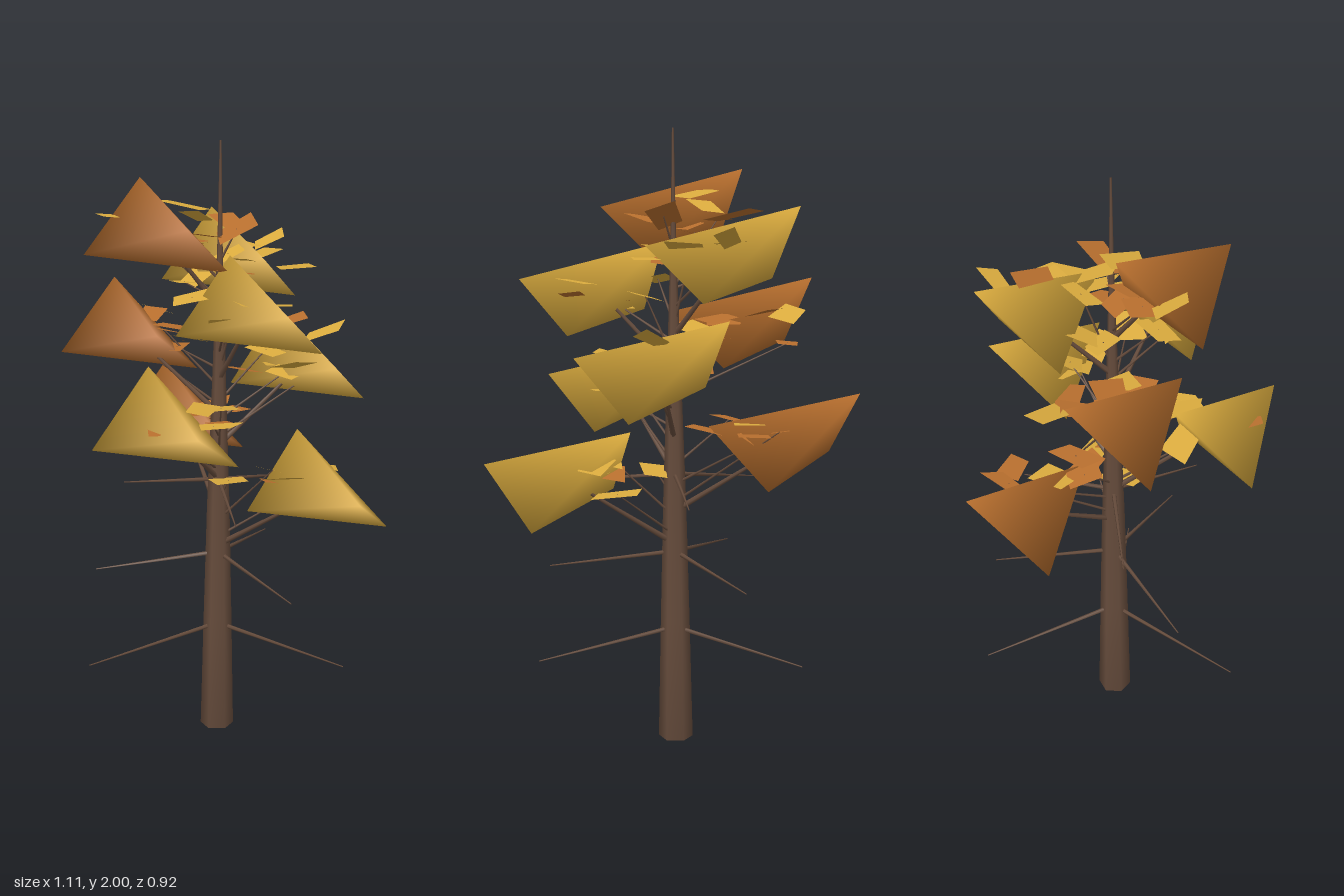
import * as THREE from 'three';

const mat = (name, color, side = THREE.FrontSide) => {
  const m = new THREE.MeshStandardMaterial({ color, side });
  m.name = name;
  return m;
};

export function createModel() {
  const tree = new THREE.Group();
  tree.name = 'autumnTree';
  const bark = mat('bark brown', 0x664c3c);
  const gold = mat('golden leaf', 0xdaab3e, THREE.DoubleSide);
  const copper = mat('copper leaf', 0xb86f2e, THREE.DoubleSide);

  let seed = 11;
  const rand = () => (seed = (seed * 16807) % 2147483647) / 2147483647;
  const spread = range => (rand() - 0.5) * range;

  const add = (parent, geo, material, name) => {
    const m = new THREE.Mesh(geo, material);
    m.name = name;
    parent.add(m);
    return m;
  };

  // Tapered limb between two points
  const limb = (name, from, to, r0, r1) => {
    const dir = to.clone().sub(from);
    const m = add(tree, new THREE.CylinderGeometry(r1, r0, dir.length(), 5), bark, name);
    m.position.copy(from).addScaledVector(dir, 0.5);
    m.quaternion.setFromUnitVectors(new THREE.Vector3(0, 1, 0), dir.normalize());
  };

  // Trunk tapering to a needle tip, leaning very slightly
  const profile = [[0, 0], [0.057, 0], [0.048, 0.4], [0.038, 0.8], [0.024, 1.2], [0.014, 1.5], [0.008, 1.7], [0.003, 2]];
  const trunkGeo = new THREE.LatheGeometry(profile.map(p => new THREE.Vector2(...p)), 6);
  const tp = trunkGeo.attributes.position;
  for (let i = 0; i < tp.count; i++) tp.setX(i, tp.getX(i) + 0.008 * tp.getY(i));
  add(tree, trunkGeo, bark, 'trunk').position.set(-0.05, 0, -0.05);
  const trunkAt = y => new THREE.Vector3(-0.05 + 0.008 * y, y, -0.05);

  // Three whorls of bare twigs: height, first angle, length
  for (const [y, deg, len] of [[0.38, 0.5, 0.48], [0.64, 25, 0.41], [0.9, 50, 0.34]]) {
    for (let k = 0; k < 3; k++) {
      const a = (deg + k * 120) * Math.PI / 180;
      const tip = new THREE.Vector3(-0.045 + len * Math.cos(a), y - 0.048, -0.045 + len * Math.sin(a));
      limb('bareTwig', trunkAt(y), tip, 0.008, 0.002);
    }
  }

  // Four-cornered foliage clump with soft shading
  const clumpGeo = new THREE.BufferGeometry();
  clumpGeo.setAttribute('position', new THREE.Float32BufferAttribute([
    -0.16, 0.156, -0.135, 0.21, 0.036, 0.17, 0.17, -0.128, -0.135, -0.213, -0.069, 0.108], 3));
  clumpGeo.setIndex([0, 1, 2, 0, 3, 1, 0, 2, 3, 1, 3, 2]);
  clumpGeo.computeVertexNormals();

  // Flat angular leaf plate lying near the horizontal
  const leaf = (x, y, z, len, wid, deg, material) => {
    const s = new THREE.Shape([[-0.5, -0.3], [0.25, -0.5], [0.5, 0.15], [-0.25, 0.5]]
      .map(([u, v]) => new THREE.Vector2(u * len, v * wid)));
    const m = add(tree, new THREE.ShapeGeometry(s).rotateX(-Math.PI / 2), material, 'leaf');
    m.position.set(x, y, z);
    m.rotation.set(spread(0.6), -deg * Math.PI / 180, spread(0.6));
  };

  const clumps = [
    [-0.15, 1.724, 0.125, copper], [-0.12, 1.6, -0.275, gold],
    [0.16, 1.49, 0.085, gold], [-0.345, 1.374, 0, copper],
    [0.135, 1.265, -0.3, gold], [-0.02, 1.15, 0.29, gold],
    [-0.335, 1.025, -0.3, copper], [0.34, 0.915, -0.05, gold],
  ];
  for (const [x, y, z, material] of clumps) {
    add(tree, clumpGeo, material, 'foliageClump').position.set(x, y, z);
    const c = new THREE.Vector3(x, y, z);
    limb('branch', trunkAt(y - 0.25), c, 0.01, 0.004);
    // Loose leaves around the inner side of the clump, some on thin shoots
    for (let k = 0; k < 5; k++) {
      const p = c.clone().lerp(trunkAt(y), 0.12 + 0.12 * k);
      p.add(new THREE.Vector3(spread(0.24), spread(0.12), spread(0.24)));
      if (k % 2 === 0) limb('shoot', trunkAt(y - 0.22 + 0.03 * k), p, 0.005, 0.002);
      const other = material === gold ? copper : gold;
      leaf(p.x, p.y, p.z, 0.13 + rand() * 0.07, 0.07 + rand() * 0.05, rand() * 360, k === 3 ? other : material);
    }
  }

  // Larger loose leaves: x, y, z, length, width, turn
  const goldLeaves = [
    [-0.04, 1.66, -0.39, 0.14, 0.08, 120], [0.02, 1.62, -0.13, 0.22, 0.09, 70],
    [-0.14, 1.8, 0.0, 0.19, 0.13, 150], [-0.33, 1.77, 0.14, 0.17, 0.06, 35],
    [0.15, 1.6, -0.22, 0.2, 0.09, 100], [0.19, 1.37, -0.35, 0.17, 0.08, 140],
    [-0.37, 1.42, -0.2, 0.16, 0.11, 130], [0.16, 1.53, 0.13, 0.15, 0.07, 30],
    [0.2, 1.3, -0.12, 0.16, 0.1, 10], [0.24, 0.95, -0.02, 0.2, 0.1, 20],
    [0.02, 1.19, 0.15, 0.2, 0.11, 60], [-0.16, 1.56, -0.12, 0.15, 0.1, 80],
  ];
  const copperLeaves = [
    [-0.13, 1.73, -0.27, 0.19, 0.09, 30], [-0.01, 1.72, 0.08, 0.24, 0.08, 80],
    [0.27, 1.48, 0.04, 0.12, 0.09, 120], [-0.34, 1.42, -0.12, 0.14, 0.1, 60],
    [-0.2, 1.4, -0.04, 0.17, 0.12, 150], [0.0, 1.17, 0.395, 0.08, 0.05, 45],
    [-0.12, 1.05, -0.13, 0.16, 0.1, 20],
  ];
  goldLeaves.forEach(l => leaf(...l, gold));
  copperLeaves.forEach(l => leaf(...l, copper));

  return tree;
}
